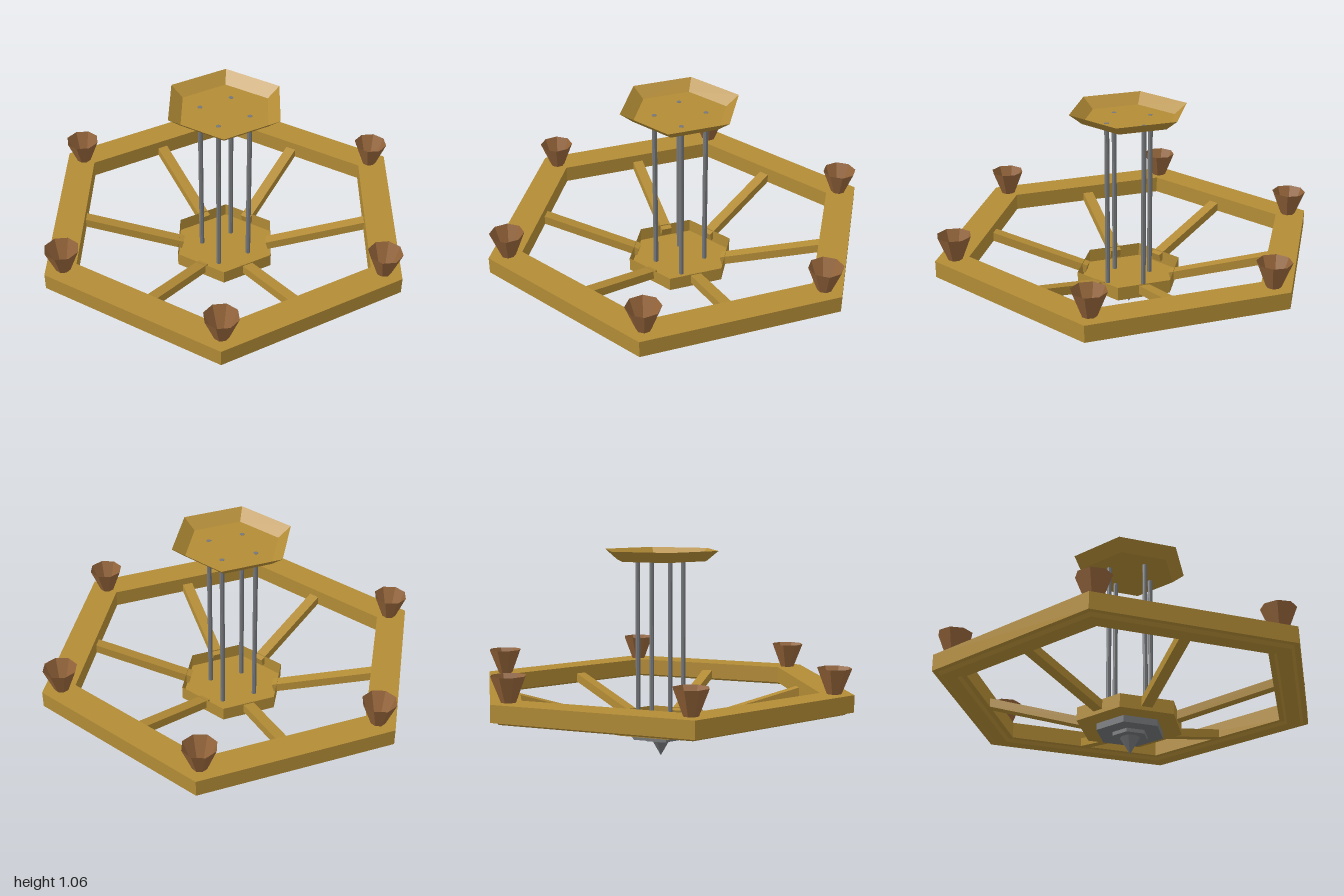
import * as THREE from 'three';

const gold = new THREE.MeshStandardMaterial({ name: 'gold wood', color: 0xb38c36 });
const goldSheet = new THREE.MeshStandardMaterial({ name: 'gold sheet', color: 0xb38c36, side: THREE.DoubleSide });
const cupBrown = new THREE.MeshStandardMaterial({ name: 'cup brown', color: 0x95653a, side: THREE.DoubleSide });
const steel = new THREE.MeshStandardMaterial({ name: 'steel', color: 0x75777a });

// faceted normals without touching the material
function flat(geometry) {
  const g = geometry.index ? geometry.toNonIndexed() : geometry;
  g.computeVertexNormals();
  return g;
}

function part(name, geometry, material, parent) {
  const mesh = new THREE.Mesh(flat(geometry), material);
  mesh.name = name;
  parent.add(mesh);
  return mesh;
}

// revolve [radius, height] pairs with few sides, a corner pointing along +x
function facetedLathe(points, sides) {
  return new THREE.LatheGeometry(points.map(([r, y]) => new THREE.Vector2(r, y)), sides, Math.PI / 2);
}

export function createModel() {
  const model = new THREE.Group();
  model.name = 'chandelier';

  // hexagonal ring with a bevelled bead underneath
  part('ring', facetedLathe([
    [0.955, 0.28], [0.972, 0.295], [1, 0.295], [1, 0.38], [0.831, 0.38],
    [0.831, 0.295], [0.86, 0.295], [0.877, 0.28], [0.955, 0.28],
  ], 6), gold, model);

  // open ceiling canopy and open hub dish
  part('canopy', facetedLathe([[0, 1.005], [0.242, 1.005], [0.307, 1.057]], 6), goldSheet, model);
  part('hub', facetedLathe([[0, 0.14], [0.277, 0.14], [0.277, 0.21]], 6), goldSheet, model);

  // stepped finial below the hub
  part('finialPlate', facetedLathe([[0, 0.105], [0.175, 0.105], [0.175, 0.139], [0, 0.139]], 6), steel, model);
  part('finialStep', facetedLathe([[0, 0.086], [0.092, 0.086], [0.092, 0.105]], 6), steel, model);
  part('finialTip', facetedLathe([[0, 0], [0.05, 0.086]], 8), steel, model);

  // hanging rods
  for (const x of [-0.087, 0.087]) {
    for (const z of [-0.093, 0.093]) {
      const rod = part('rod', new THREE.CylinderGeometry(0.0125, 0.0125, 0.865, 8), steel, model);
      rod.position.set(x, 0.5735, z);
    }
  }

  // sloping arms to the ring sides, candle cups on the ring corners
  const inner = new THREE.Vector2(0.22, 0.176);
  const outer = new THREE.Vector2(0.735, 0.322);
  const span = outer.clone().sub(inner);
  for (let i = 0; i < 6; i++) {
    const spoke = new THREE.Group();
    spoke.name = 'spoke';
    spoke.rotation.y = Math.PI / 6 + i * Math.PI / 3;
    const arm = part('arm', new THREE.BoxGeometry(span.length(), 0.044, 0.055), gold, spoke);
    arm.position.set((inner.x + outer.x) / 2, (inner.y + outer.y) / 2, 0);
    arm.rotation.z = span.angle();
    model.add(spoke);

    const a = i * Math.PI / 3;
    const cup = part('candleCup', facetedLathe([[0.037, 0], [0.086, 0.125]], 8), cupBrown, model);
    cup.position.set(0.9 * Math.cos(a), 0.381, 0.9 * Math.sin(a));
  }
  return model;
}
